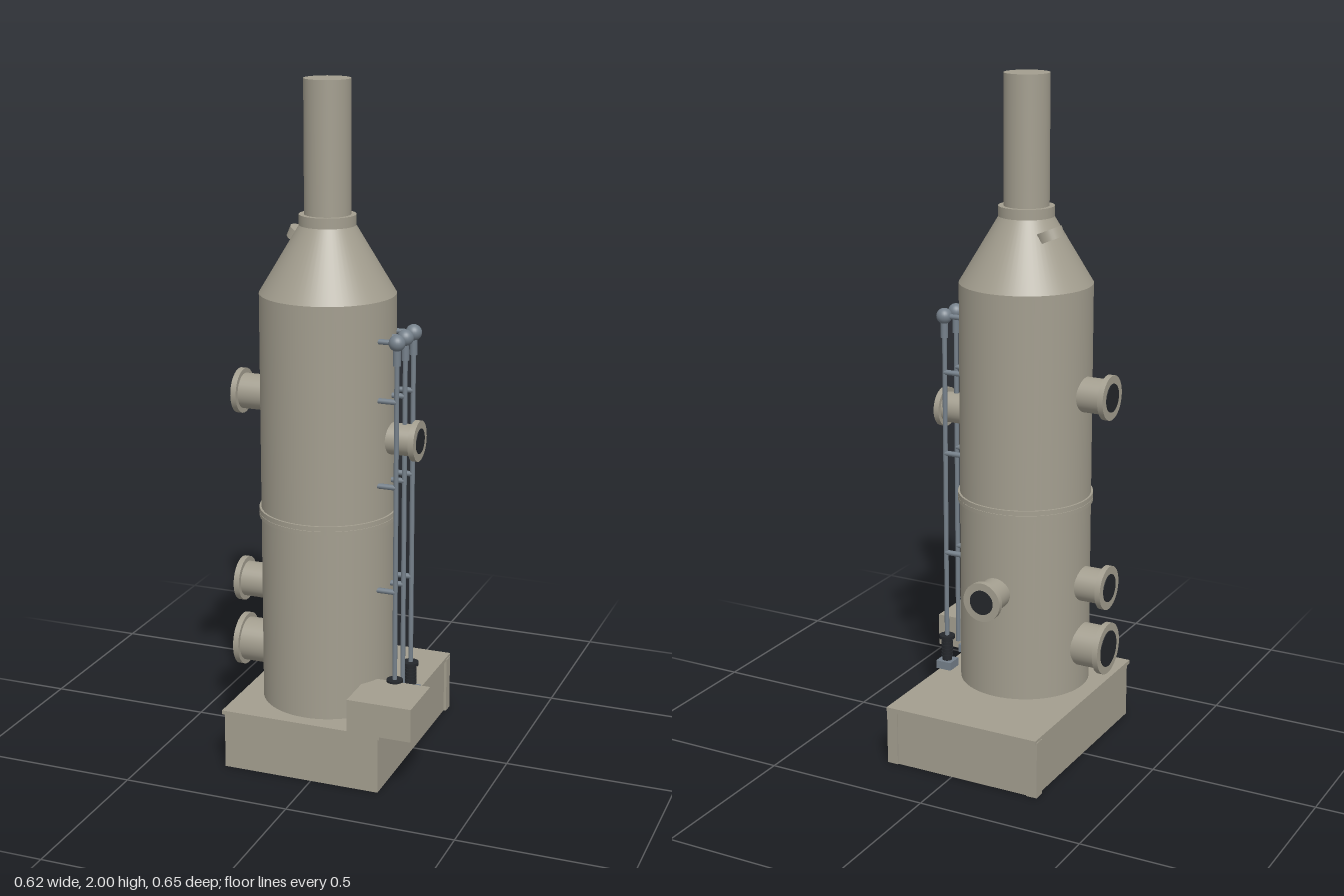
import * as THREE from 'three';

const body = new THREE.MeshStandardMaterial({ color: 0xa39e8f });
const steel = new THREE.MeshStandardMaterial({ color: 0x75808a });
const dark = new THREE.MeshStandardMaterial({ color: 0x24272b });

const CX = -0.033, CZ = 0.083; // vessel axis

function add(parent, name, geo, mat, x, y, z) {
  const m = new THREE.Mesh(geo, mat);
  m.name = name;
  m.position.set(x, y, z);
  parent.add(m);
  return m;
}

// Box given by its min and max corners
function box(parent, name, mat, [x0, y0, z0], [x1, y1, z1]) {
  return add(parent, name, new THREE.BoxGeometry(x1 - x0, y1 - y0, z1 - z0), mat,
    (x0 + x1) / 2, (y0 + y1) / 2, (z0 + z1) / 2);
}

// Upright cylinder between two heights
function tube(parent, name, mat, x, z, y0, y1, r0, r1 = r0, seg = 64) {
  return add(parent, name, new THREE.CylinderGeometry(r1, r0, y1 - y0, seg), mat, x, (y0 + y1) / 2, z);
}

// Flanged pipe stub, built along local +y and then turned outwards from the vessel axis
function nozzle(parent, name, y, angle, reach, pipeR, flangeR, boreR) {
  const g = new THREE.Group();
  g.name = name;
  tube(g, 'nozzlePipe', body, 0, 0, 0.15, reach - 0.01, pipeR, pipeR, 32);
  tube(g, 'nozzleFlange', body, 0, 0, reach - 0.017, reach, flangeR, flangeR, 40);
  tube(g, 'nozzleBore', dark, 0, 0, reach - 0.005, reach + 0.002, boreR, boreR, 32);
  g.rotation.set(0, angle, -Math.PI / 2);
  g.position.set(CX, y, CZ);
  parent.add(g);
}

export function createModel() {
  const root = new THREE.Group();
  root.name = 'scrubberTower';

  // Plinth with cover slab, back corner posts and side block
  const base = new THREE.Group();
  base.name = 'base';
  root.add(base);
  box(base, 'plinth', body, [-0.271, 0, -0.318], [0.207, 0.17, 0.314]);
  box(base, 'coverSlab', body, [-0.277, 0.168, -0.328], [0.213, 0.18, 0.32]);
  for (const [x0, x1] of [[-0.279, -0.245], [0.181, 0.215]]) {
    box(base, 'cornerPost', body, [x0, 0, -0.322], [x1, 0.172, -0.288]);
  }
  box(base, 'sideBlock', body, [0.117, 0.18, 0.156], [0.31, 0.28, 0.326]);

  // Vessel shell, seam, cone and stack
  const vessel = new THREE.Group();
  vessel.name = 'vessel';
  root.add(vessel);
  tube(vessel, 'shell', body, CX, CZ, 0.18, 1.402, 0.195);
  tube(vessel, 'seamFlange', body, CX, CZ, 0.744, 0.756, 0.201);
  tube(vessel, 'seamFlange', body, CX, CZ, 0.757, 0.771, 0.201);
  tube(vessel, 'cone', body, CX, CZ, 1.402, 1.6, 0.195, 0.077);
  tube(vessel, 'collar', body, CX, CZ, 1.595, 1.625, 0.081);
  tube(vessel, 'stack', body, CX, CZ, 1.62, 2, 0.066);

  // Inspection cap let into the cone
  const cap = tube(vessel, 'coneCap', body, -0.126, 0.046, 1.537, 1.567, 0.041, 0.041, 32);
  cap.rotation.z = -0.4;

  // Flanged nozzles: three on one side, one opposite, one at the back
  nozzle(vessel, 'upperSideNozzle', 1.09, Math.PI, 0.278, 0.052, 0.066, 0.042);
  nozzle(vessel, 'middleSideNozzle', 0.508, Math.PI, 0.278, 0.052, 0.066, 0.042);
  nozzle(vessel, 'lowerSideNozzle', 0.315, Math.PI, 0.278, 0.065, 0.078, 0.055);
  nozzle(vessel, 'pipeSideNozzle', 0.993, 0, 0.279, 0.046, 0.059, 0.036);
  nozzle(vessel, 'backNozzle', 0.508, Math.PI / 2, 0.278, 0.047, 0.059, 0.037);

  // Three feed lines with ball joints; the outer two rise from pumps
  [0.013, 0.083, 0.153].forEach((z, i) => {
    const line = new THREE.Group();
    line.name = 'feedLine';
    root.add(line);
    const x = 0.2;
    tube(line, 'riser', steel, x, z, i === 1 ? 0.24 : 0.275, 1.28, 0.007, 0.007, 16);
    tube(line, 'riserCollar', steel, x, z, 1.225, 1.275, 0.011, 0.011, 16);
    add(line, 'ballJoint', new THREE.SphereGeometry(0.0235, 24, 16), steel, x, 1.29, z);
    // Inlet at the top, brackets below
    for (const y of [1.29, 1.12, 0.87, 0.555]) {
      const arm = tube(line, y > 1.2 ? 'inletPipe' : 'bracket', steel, 0.168, z, y - 0.032, y + 0.032, 0.008, 0.008, 12);
      arm.rotation.z = Math.PI / 2;
    }
    if (i !== 1) {
      box(line, 'pumpPlate', steel, [x - 0.025, 0.18, z - 0.025], [x + 0.025, 0.205, z + 0.025]);
      tube(line, 'pumpBody', dark, x, z, 0.205, 0.278, 0.015, 0.015, 20);
      for (let k = 0; k < 5; k++) {
        tube(line, 'pumpFin', dark, x, z, 0.216 + k * 0.011, 0.222 + k * 0.011, 0.018, 0.018, 20);
      }
      tube(line, 'pumpCap', dark, x, z, 0.276, 0.286, 0.024, 0.024, 20);
    }
  });

  return root;
}
